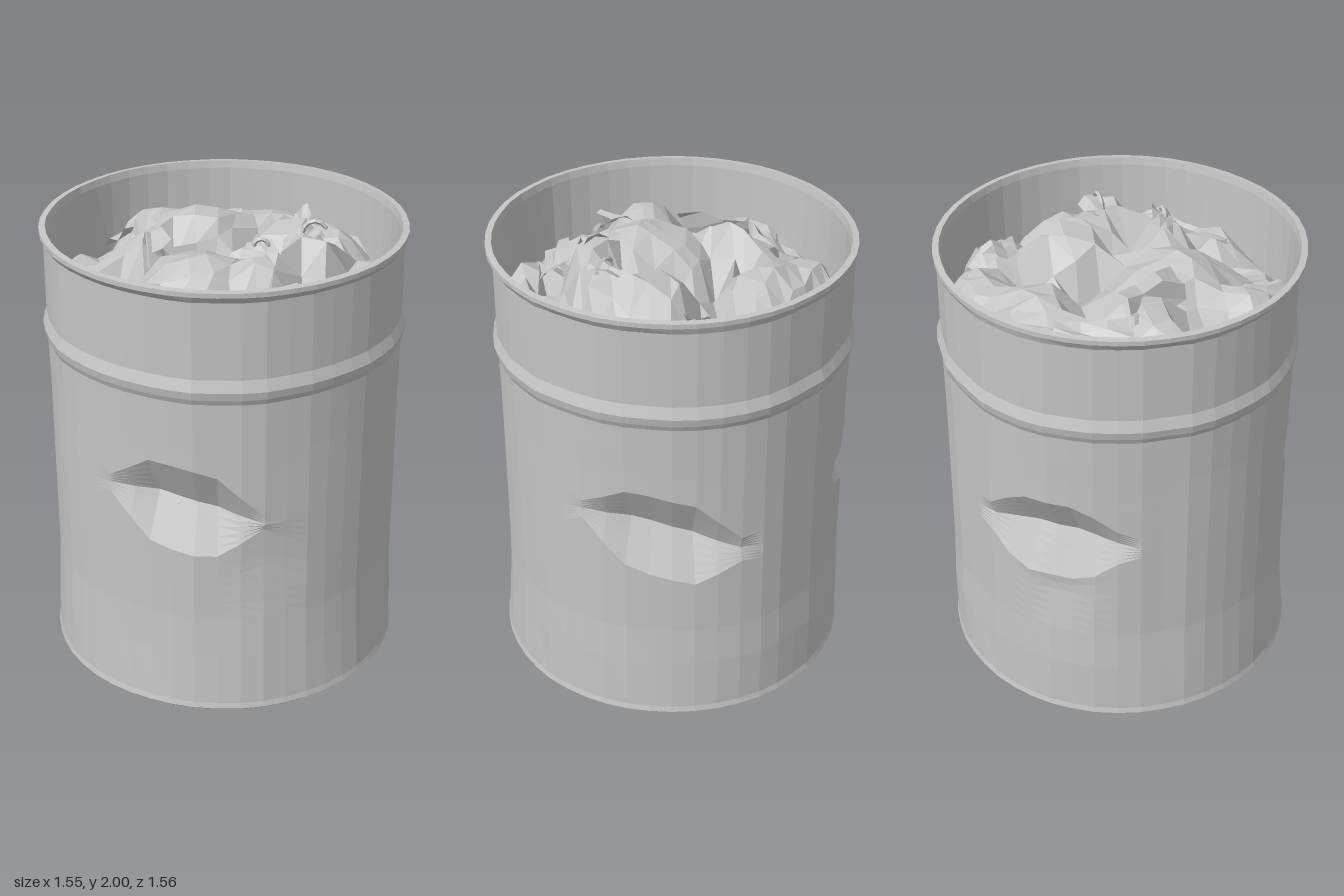
import * as THREE from 'three';

const steel = new THREE.MeshStandardMaterial({ color: 0xc4c4c4, flatShading: true, side: THREE.DoubleSide });
steel.name = 'grey steel';

// Repeatable value in -1..1 for a position, so shared corners stay joined
function hash(x, z, seed = 0) {
  const s = Math.sin(Math.round(x * 500) * 12.99 + Math.round(z * 500) * 37.72 + seed * 4.17) * 43758.55;
  return 2 * (s - Math.floor(s)) - 1;
}

// Move every vertex by a rule
function deform(geometry, rule) {
  const pos = geometry.attributes.position;
  const v = new THREE.Vector3();
  for (let i = 0; i < pos.count; i++) {
    rule(v.fromBufferAttribute(pos, i));
    pos.setXYZ(i, v.x, v.y, v.z);
  }
  geometry.computeVertexNormals();
  return geometry;
}

function addMesh(parent, name, geometry) {
  const mesh = new THREE.Mesh(geometry, steel);
  mesh.name = name;
  parent.add(mesh);
  return mesh;
}

// Dents: direction (x, z), height, half width, half height, depth, crease slope
const dents = [
  { x: -0.15, z: 0.74, y: 0.98, w: 0.35, h: 0.2, d: 0.11, slope: -0.15 },
  { x: 0.62, z: -0.43, y: 0.94, w: 0.37, h: 0.2, d: 0.11, slope: -0.25 },
  { x: -0.54, z: -0.53, y: 0.94, w: 0.36, h: 0.2, d: 0.12, slope: 0 },
];

function batter(v) {
  const r = Math.hypot(v.x, v.z);
  if (r < 0.5) return;
  const phi = Math.atan2(v.x, v.z);
  const body = v.y > 0.1 && v.y < 1.93;
  let shift = (body ? 1 : 0.3) * (0.004 * Math.sin(phi * 5 + v.y) + 0.004 * hash(v.x / r, v.z / r));
  let lift = 0;
  if (body) {
    shift -= 0.006 * Math.cos(phi);
    for (const c of dents) {
      let da = phi - Math.atan2(c.x, c.z);
      da = Math.atan2(Math.sin(da), Math.cos(da)) * 0.75;
      const dy = v.y - c.y;
      const taper = Math.max(0, Math.min(1, 1.6 * (1 - Math.abs(da) / c.w)));
      const fade = Math.max(0, 1 - Math.max(0, Math.abs(dy) - c.h) / 0.24);
      shift -= c.d * taper * Math.max(0, 1 - Math.abs(dy) / c.h);
      // rows of facets draw together into pointed corners and follow the slanted crease
      const side = Math.max(0, 1 - Math.max(0, Math.abs(da) / c.w - 1) / 0.6) * fade;
      const pinch = 0.85 * (1 - taper) * side;
      lift += c.slope * da * side - pinch * Math.sign(dy) * Math.min(Math.abs(dy), c.h);
    }
    // long shallow creases running down from the front and back dents
    for (const [cx, cz, depth] of [[0.2, 0.72, 0.02], [-0.56, -0.51, 0.04]]) {
      const near = Math.max(0, 1 - Math.hypot(v.x - cx, v.z - cz) / 0.22);
      shift -= depth * near * Math.max(0, 1 - Math.abs(v.y - 0.68) / 0.25);
    }
  }
  v.x *= (r + shift) / r;
  v.z *= (r + shift) / r;
  v.y += lift;
}

// Lumps in the filling: x, z, radius x, radius z, top
const lumps = [
  [-0.1, 0.2, 0.28, 0.31, 1.9],
  [0.27, -0.12, 0.2, 0.2, 1.94],
  [0.38, 0.08, 0.16, 0.17, 1.95],
  [0.17, 0.27, 0.12, 0.15, 1.93],
  [-0.12, -0.4, 0.28, 0.22, 1.87],
  [-0.32, -0.42, 0.2, 0.24, 1.84],
  [0.17, -0.55, 0.24, 0.2, 1.82],
  [0.45, -0.38, 0.2, 0.2, 1.8],
  [0.6, -0.05, 0.16, 0.24, 1.78],
  [-0.6, 0.0, 0.17, 0.26, 1.78],
  [-0.35, 0.42, 0.2, 0.2, 1.84],
  [-0.36, -0.05, 0.12, 0.25, 1.9],
  [-0.08, 0.6, 0.28, 0.14, 1.72],
  [0.25, 0.54, 0.22, 0.16, 1.76],
  [0.5, 0.36, 0.2, 0.2, 1.77],
];

function crumple(v) {
  // square grid pulled into a disc
  const a = v.x, b = v.z;
  v.x = 0.735 * a * Math.sqrt(1 - b * b / 2);
  v.z = 0.735 * b * Math.sqrt(1 - a * a / 2);
  if (Math.max(Math.abs(a), Math.abs(b)) < 0.99) {
    v.x += 0.026 * hash(a, b, 1);
    v.z += 0.026 * hash(a, b, 2);
  }
  v.y = 1.6;
  for (const [x, z, rx, rz, top] of lumps) {
    const d = Math.hypot((v.x - x) / rx, (v.z - z) / rz);
    v.y = Math.max(v.y, top - 0.2 * d ** 2.6);
  }
  v.y += 0.018 * hash(a, b, 3);
}

export function createModel() {
  const model = new THREE.Group();
  model.name = 'batteredDrum';

  // Drum wall: base, body, hoop, lip and the inside down to the filling
  const profile = [[0, 0.012], [0.75, 0.012], [0.762, 0.002], [0.776, 0.015], [0.77, 0.04], [0.762, 0.28]];
  for (let y = 0.46; y < 1.3; y += 0.04) profile.push([0.754, y]);
  profile.push(
    [0.756, 1.38], [0.757, 1.48], [0.768, 1.505], [0.775, 1.54], [0.758, 1.59],
    [0.758, 1.92], [0.777, 1.95], [0.777, 1.97], [0.75, 1.973], [0.744, 1.94], [0.735, 1.55],
  );
  const points = profile.map(([r, y]) => new THREE.Vector2(r, y));
  addMesh(model, 'drum', deform(new THREE.LatheGeometry(points, 48), batter));

  // Filling: one crumpled skin with torn sheets on top
  const filling = new THREE.Group();
  filling.name = 'filling';
  model.add(filling);
  const skin = new THREE.PlaneGeometry(2, 2, 15, 15).rotateX(-Math.PI / 2);
  addMesh(filling, 'crumpledRubbish', deform(skin, crumple));

  // x, y, z, width, length, tilt, turn
  const sheets = [
    [0.38, 1.94, 0.05, 0.12, 0.14, 0.3, 0.4],
    [0.16, 1.94, 0.26, 0.1, 0.16, 0.5, 1.2],
    [-0.42, 1.82, -0.28, 0.14, 0.32, 0.8, -0.4],
    [-0.33, 1.89, 0.02, 0.16, 0.3, 1.0, 0.4],
    [0.33, 1.84, -0.42, 0.08, 0.16, 0.7, 0.2],
    [-0.3, 1.76, 0.5, 0.1, 0.24, 0.7, 0.1],
    [0.22, 1.8, 0.46, 0.12, 0.28, -0.6, -0.9],
    [0, 1.76, -0.62, 0.3, 0.1, 0.1, 0.1],
  ];
  sheets.forEach(([x, y, z, w, l, tilt, turn], i) => {
    const sheet = new THREE.PlaneGeometry(w, l, 3, 3).rotateX(-Math.PI / 2);
    deform(sheet, (v) => {
      const bump = hash(v.x, v.z, i);
      v.y += 0.02 * bump - 2 * v.x * v.x;
      v.x += 0.012 * bump;
    });
    const mesh = addMesh(filling, 'tornSheet', sheet);
    mesh.position.set(x, y, z);
    mesh.rotation.set(0, turn, tilt);
  });

  // Highest scraps, small bent strips
  for (const [x, z, r] of [[0.38, 0.05, 0.05], [0.16, 0.26, 0.03]]) {
    const strip = new THREE.TorusGeometry(r, 0.01, 4, 6, Math.PI);
    addMesh(filling, 'bentStrip', strip).position.set(x, 1.99 - r, z);
  }

  return model;
}
